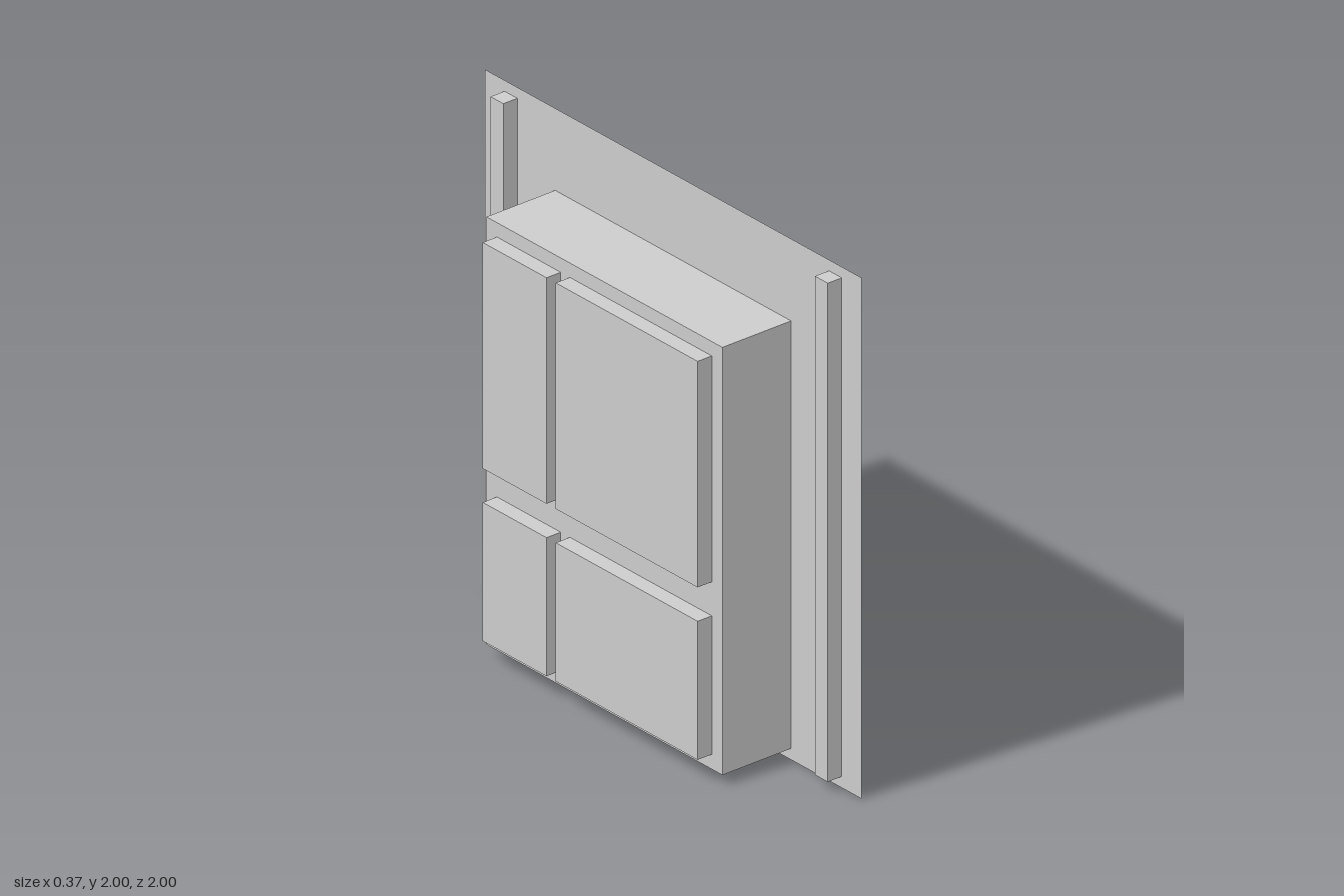
import * as THREE from 'three';

const steel = new THREE.MeshStandardMaterial({ color: 0xcccccc, side: THREE.DoubleSide });
steel.name = 'pale grey sheet';

// Depths of the pressed sheet along x
const FACE = 0.184, GROOVE = 0.122, RECESS = -0.121, PANEL = -0.184;

// Rectangles are [z0, z1, y0, y1]
const corners = ([z0, z1, y0, y1]) => [[z0, y0], [z0, y1], [z1, y1], [z1, y0]];

function addMesh(parent, geometry, name) {
  const mesh = new THREE.Mesh(geometry, steel);
  mesh.name = name;
  parent.add(mesh);
}

// Flat sheet facing +x, with rectangular openings
function sheet(rect, x, holes = []) {
  const points = r => corners(r).map(([z, y]) => new THREE.Vector2(-z, y));
  const shape = new THREE.Shape(points(rect));
  holes.forEach(h => shape.holes.push(new THREE.Path(points(h))));
  return new THREE.ShapeGeometry(shape).rotateY(Math.PI / 2).translate(x, 0, 0);
}

// Four walls between two depths, facing into the opening
function walls(rect, outer, inner) {
  const c = corners(rect), pos = [];
  c.forEach(([z, y], i) => {
    const [w, v] = c[(i + 1) % 4];
    pos.push(outer, y, z, inner, v, w, inner, y, z);
    pos.push(outer, y, z, outer, v, w, inner, v, w);
  });
  const g = new THREE.BufferGeometry();
  g.setAttribute('position', new THREE.Float32BufferAttribute(pos, 3));
  g.computeVertexNormals();
  return g;
}

// Pressed pocket: walls plus a floor, which may have openings of its own
function pocket(name, rect, outer, inner, holes = []) {
  const group = new THREE.Group();
  group.name = name;
  addMesh(group, walls(rect, outer, inner), name + 'Walls');
  addMesh(group, sheet(rect, inner, holes), name + 'Floor');
  return group;
}

export function createModel() {
  const model = new THREE.Group();
  model.name = 'pressedPanel';

  const recess = [-0.627, 0.627, 0.043, 1.685];
  const grooves = [[0.828, 0.896, 0.043, 1.958], [-0.896, -0.828, 0.043, 1.958]];

  // Two columns by two rows of deeper panels
  const panels = [];
  for (const [z0, z1] of [[-0.183, 0.571], [-0.571, -0.232]])
    for (const [y0, y1] of [[0.1, 0.632], [0.762, 1.63]]) panels.push([z0, z1, y0, y1]);

  // Face sheet around the recess and grooves
  addMesh(model, sheet([-1, 1, 0, 2], FACE, [recess, ...grooves]), 'faceSheet');
  grooves.forEach((g, i) => model.add(pocket(i ? 'backGroove' : 'frontGroove', g, FACE, GROOVE)));
  model.add(pocket('mainRecess', recess, FACE, RECESS, panels));
  panels.forEach((p, i) => model.add(pocket('panel' + (i + 1), p, RECESS, PANEL)));

  return model;
}
